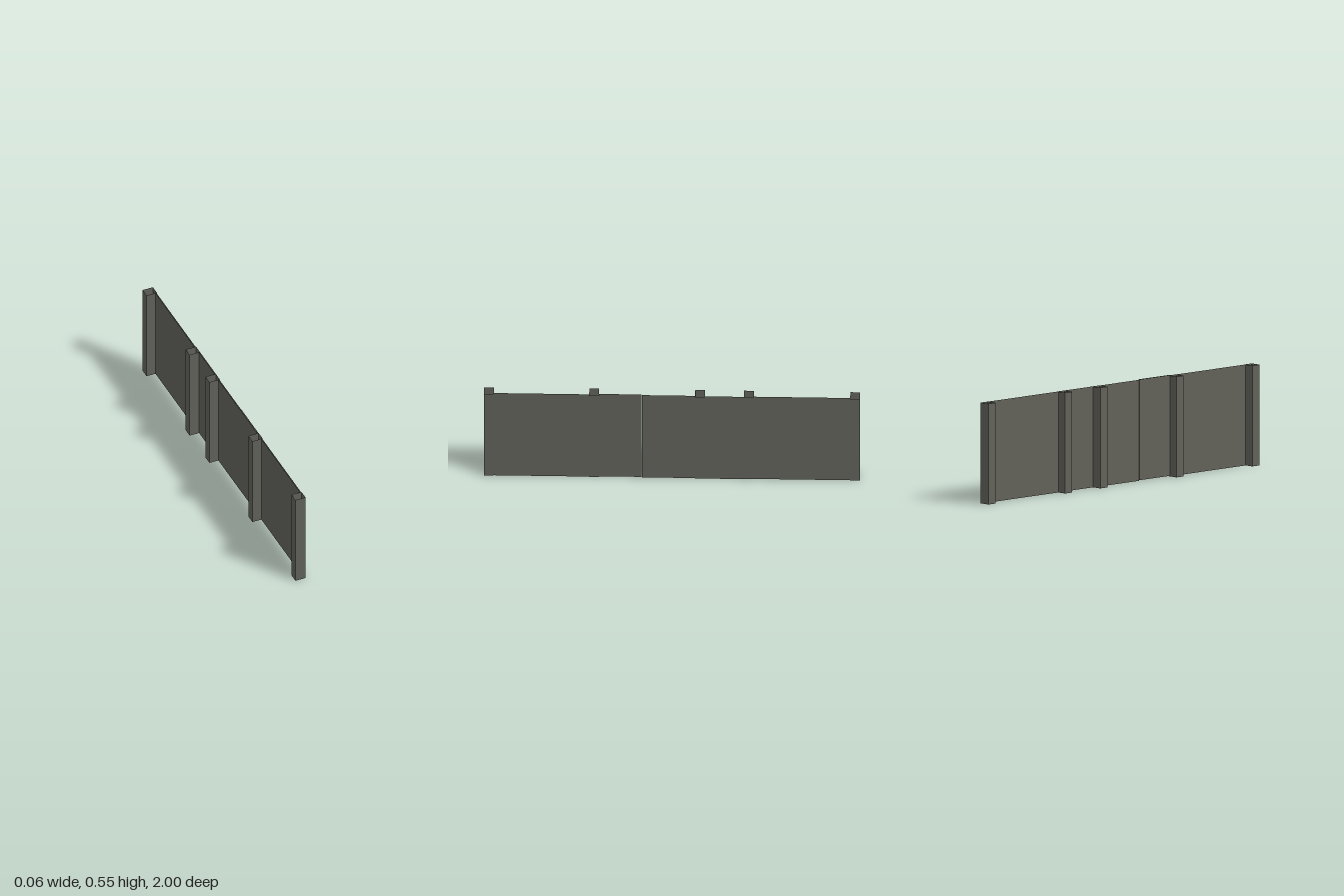
import * as THREE from 'three';

const HEIGHT = 0.542;

export function createModel() {
  const group = new THREE.Group();
  group.name = 'postAndPanelWall';
  const greyMetal = new THREE.MeshStandardMaterial({ color: 0x62625a, side: THREE.DoubleSide });
  greyMetal.name = 'grey metal';

  // Upright rectangular sleeve: a box without its top and bottom faces
  function addSleeve(name, x0, x1, z0, z1, y0 = 0, y1 = HEIGHT) {
    const geometry = new THREE.BoxGeometry(x1 - x0, y1 - y0, z1 - z0);
    const index = Array.from(geometry.index.array);
    index.splice(12, 12);
    geometry.setIndex(index);
    geometry.clearGroups();
    const mesh = new THREE.Mesh(geometry, greyMetal);
    mesh.name = name;
    mesh.position.set((x0 + x1) / 2, (y0 + y1) / 2, (z0 + z1) / 2);
    group.add(mesh);
  }

  // Hollow posts, open at both ends, listed from back to front
  const posts = [[-1, -0.948], [-0.435, -0.383], [-0.175, -0.123], [0.388, 0.44], [0.948, 1]];
  posts.forEach(([z0, z1], i) => addSleeve('post' + (i + 1), i === 4 ? -0.028 : -0.03, 0.03, z0, z1));

  // Fixed panels, slightly recessed; the short one sits flush with its posts
  addSleeve('backPanel', 0.022, 0.027, -0.948, -0.435);
  addSleeve('shortPanel', 0.025, 0.03, -0.383, -0.175);
  addSleeve('frontPanel', 0.022, 0.027, 0.44, 0.948);

  // Pair of gate leaves meeting between the middle posts, one set a little higher
  addSleeve('gateLeafBack', 0.022, 0.027, -0.123, 0.16);
  addSleeve('gateLeafFront', 0.021, 0.027, 0.162, 0.388, 0.003, 0.545);

  return group;
}
